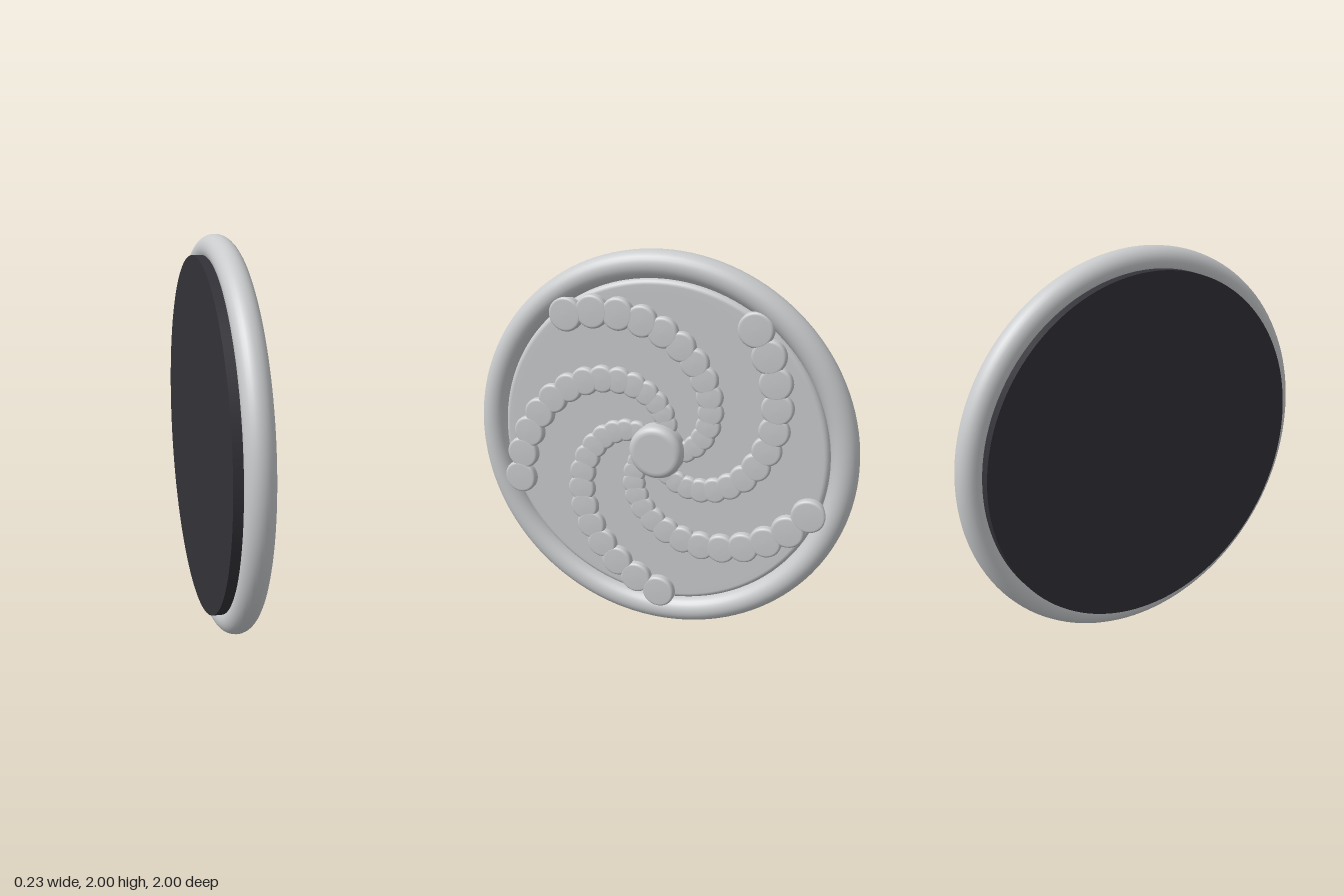
import * as THREE from 'three';

const AXIS_Y = 1; // height of the disc centre

export function createModel() {
  const model = new THREE.Group();
  model.name = 'spiralDisc';

  const silver = new THREE.MeshStandardMaterial({ color: 0xc8cacc });
  silver.name = 'silver grey';
  const charcoal = new THREE.MeshStandardMaterial({ color: 0x323238 });
  charcoal.name = 'charcoal';

  const add = (name, geometry, material, x, y = AXIS_Y, z = 0, parent = model) => {
    const mesh = new THREE.Mesh(geometry, material);
    mesh.name = name;
    mesh.position.set(x, y, z);
    parent.add(mesh);
    return mesh;
  };

  // Turned solid whose axis points along +x; profile is [radius, x] pairs from rim to centre
  const turned = (profile, segments) =>
    new THREE.LatheGeometry(profile.map(([r, h]) => new THREE.Vector2(r, h)), segments)
      .rotateZ(-Math.PI / 2);

  // Cap with a straight wall, a quarter-round edge and a flat top
  const roundedCap = (radius, height, edge, segments, crown = 0) => {
    const profile = [[radius, 0]];
    for (let i = 0; i <= 6; i++) {
      const a = (i / 6) * Math.PI / 2;
      profile.push([radius - edge + edge * Math.cos(a), height - crown - edge + edge * Math.sin(a)]);
    }
    profile.push([(radius - edge) * 0.96, height - crown * 0.9]);
    profile.push([(radius - edge) * 0.5, height - crown * 0.25], [0, height]);
    return turned(profile, segments);
  };

  // Outer ring
  add('outerRing', new THREE.TorusGeometry(0.931, 0.069, 28, 128).rotateY(Math.PI / 2), silver, -0.005);

  // Dark backing plate
  add('backingPlate', new THREE.CylinderGeometry(0.9, 0.9, 0.06, 128).rotateZ(Math.PI / 2), charcoal, -0.085);

  // Face plate with a rounded edge
  add('facePlate', roundedCap(0.862, 0.08, 0.028, 128), silver, -0.055);

  // Centre hub
  add('hub', roundedCap(0.14, 0.09, 0.035, 48), silver, 0.022);

  // Five spiral arms of overlapping studs that grow towards the rim
  const studs = 16;
  for (let arm = 0; arm < 5; arm++) {
    const group = new THREE.Group();
    group.name = 'spiralArm' + (arm + 1);
    model.add(group);
    for (let i = 0; i < studs; i++) {
      const r = 0.818 - (studs - 1 - i) * 0.052;
      const angle = THREE.MathUtils.degToRad(-90 + arm * 72 - (0.818 - r) * 184);
      const size = 0.05 + 0.046 * r;
      const height = 0.028 + 0.001 * i;
      add('stud', roundedCap(size, height, 0.014, 28, 0.002), silver, 0.022,
        AXIS_Y + r * Math.sin(angle), -r * Math.cos(angle), group);
    }
  }
  return model;
}
